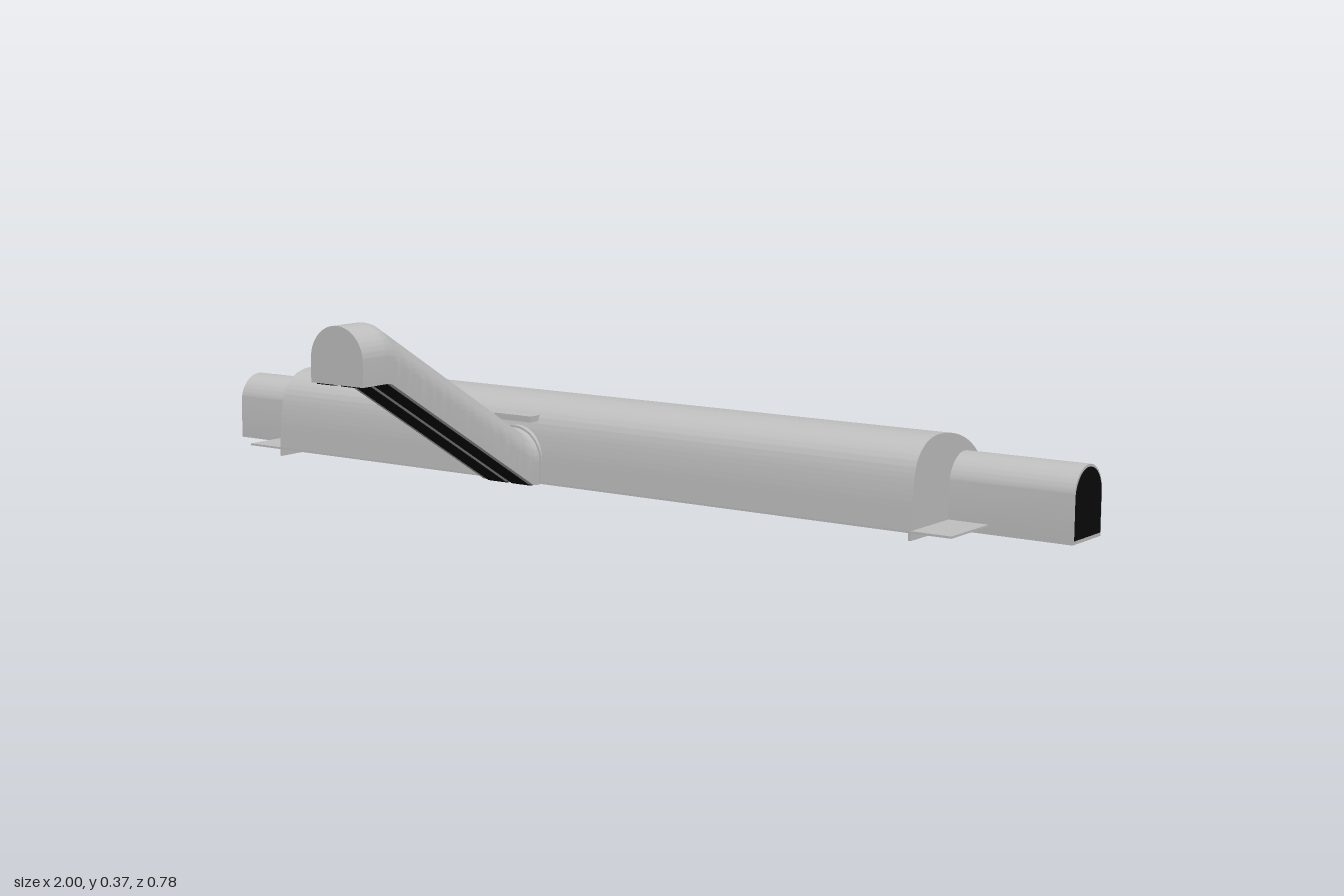
import * as THREE from 'three';
import { toCreasedNormals } from 'three/addons/utils/BufferGeometryUtils.js';

export function createModel() {
  const model = new THREE.Group();
  const concrete = new THREE.MeshStandardMaterial({ color: 0xc0c0c0 });
  concrete.name = 'concrete';
  const dark = new THREE.MeshStandardMaterial({ color: 0x0a0a0a });
  dark.name = 'dark interior';

  const add = (name, geometry, material = concrete) => {
    const mesh = new THREE.Mesh(geometry, material);
    mesh.name = name;
    model.add(mesh);
    return mesh;
  };
  const box = (name, x0, x1, y0, y1, z0, z1, material) => {
    const geometry = new THREE.BoxGeometry(x1 - x0, y1 - y0, z1 - z0);
    geometry.translate((x0 + x1) / 2, (y0 + y1) / 2, (z0 + z1) / 2);
    return add(name, geometry, material);
  };
  // Round-topped outline standing on y = base
  const arch = (center, radius, base, top) => {
    const shape = new THREE.Shape();
    shape.moveTo(center - radius, base);
    shape.lineTo(center + radius, base);
    shape.lineTo(center + radius, top - radius);
    shape.absarc(center, top - radius, radius, 0, Math.PI, false);
    shape.closePath();
    return shape;
  };
  // Outline drawn in (-z, y), pushed along x
  const extrudeX = (shape, x0, x1) => {
    const geometry = new THREE.ExtrudeGeometry(shape, { depth: x1 - x0, bevelEnabled: false, curveSegments: 20 });
    geometry.rotateY(Math.PI / 2);
    geometry.translate(x0, 0, 0);
    return toCreasedNormals(geometry, 0.6);
  };

  // Station hall: lopsided vault, with its floor stepped up below the platform
  const vault = new THREE.Shape();
  vault.moveTo(0.27, 0);
  vault.lineTo(0.39, 0);
  vault.lineTo(0.39, 0.08);
  vault.splineThru([
    [0.387, 0.105], [0.374, 0.128], [0.345, 0.15], [0.31, 0.166], [0.27, 0.176], [0.233, 0.179],
    [0.205, 0.177], [0.178, 0.168], [0.155, 0.149], [0.142, 0.124], [0.134, 0.08], [0.13, 0.018],
  ].map(([s, y]) => new THREE.Vector2(s, y)));
  vault.lineTo(0.27, 0.018);
  vault.closePath();
  const hallGeometry = new THREE.ExtrudeGeometry(vault, { depth: 1.51, bevelEnabled: false, curveSegments: 36 });
  hallGeometry.rotateY(Math.PI / 2).translate(-0.755, 0, 0);
  add('stationHall', toCreasedNormals(hallGeometry, 0.6));

  // Platform sheet and the dark recess beneath it
  box('platform', -0.84, 0.835, 0.014, 0.018, -0.27, -0.13);
  box('platformRiser', -0.75, 0.75, 0.001, 0.014, -0.27, -0.266, dark);
  box('platformGap', -0.75, 0.75, 0.011, 0.014, -0.268, -0.262, dark);

  for (const side of [-1, 1]) {
    const span = (a, b) => [Math.min(side * a, side * b), Math.max(side * a, side * b)];
    box('hallEndSkirt', ...span(0.75, 0.755), 0, 0.016, -0.27, -0.13);
    // Rail tunnel with its dark mouth
    add('railTunnel', extrudeX(arch(0.324, 0.056, 0, 0.137), ...span(0.75, 0.9985)));
    add('tunnelMouth', extrudeX(arch(0.324, 0.051, 0.007, 0.132), ...span(0.996, 1)), dark);
  }

  // Escalator shaft: straight pieces along z, lifted by a slope with level ends
  const centerX = -0.127;
  const lift = (geometry) => {
    const p = geometry.attributes.position;
    for (let i = 0; i < p.count; i++) {
      const rise = 0.017 + 0.58 * (p.getZ(i) + 0.105);
      p.setY(i, p.getY(i) + Math.min(0.26, Math.max(0.013, rise)));
    }
    return toCreasedNormals(geometry, 0.4);
  };
  const shaft = new THREE.ExtrudeGeometry(arch(centerX, 0.062, 0, 0.107), {
    depth: 0.54, steps: 54, bevelEnabled: false, curveSegments: 20,
  });
  shaft.translate(0, 0, -0.15);
  add('escalatorShaft', lift(shaft));
  for (const side of [-1, 1]) {
    const band = new THREE.BoxGeometry(0.042, 0.004, 0.517, 1, 1, 52);
    band.translate(centerX + side * 0.029, 0, 0.129);
    add('escalatorUnderside', lift(band), dark);
  }

  // Collar and canopy where the shaft meets the hall
  const collar = new THREE.ExtrudeGeometry(arch(centerX, 0.066, 0.018, 0.124), {
    depth: 0.015, bevelEnabled: false, curveSegments: 20,
  });
  collar.translate(0, 0, -0.144);
  add('shaftCollar', toCreasedNormals(collar, 0.6));
  box('shaftCanopy', -0.172, -0.082, 0.134, 0.146, -0.155, -0.123);

  return model;
}
